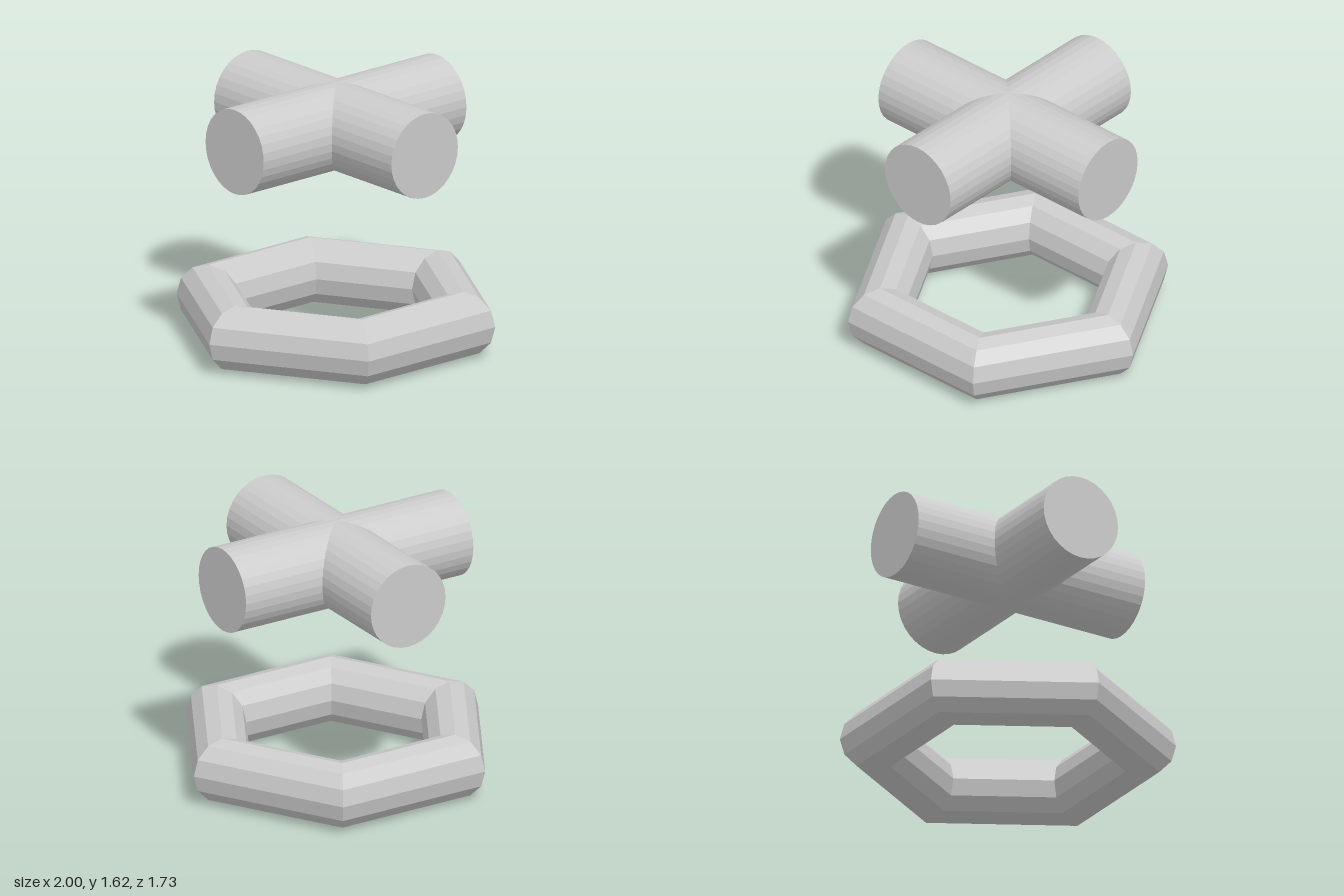
import * as THREE from 'three';

export function createModel() {
  const model = new THREE.Group();
  const material = new THREE.MeshStandardMaterial({ color: 0xcccccc, flatShading: true });

  // Six-sided ring lying flat on the ground
  const ringGeometry = new THREE.TorusGeometry(0.8, 0.2, 12, 6).rotateX(Math.PI / 2);
  const ring = new THREE.Mesh(ringGeometry, material);
  ring.name = 'hexagonalRing';
  ring.position.y = 0.2;
  model.add(ring);

  // Two crossed bars floating above the ring
  const cross = new THREE.Group();
  cross.name = 'cross';
  cross.position.y = 1.3625;
  const barGeometry = new THREE.CylinderGeometry(0.2625, 0.2625, 1.6, 32).rotateX(Math.PI / 2);
  for (const [name, turn] of [['lengthwiseBar', 0], ['crosswiseBar', Math.PI / 2]]) {
    const bar = new THREE.Mesh(barGeometry, material);
    bar.name = name;
    bar.rotation.y = turn;
    cross.add(bar);
  }
  model.add(cross);

  return model;
}
